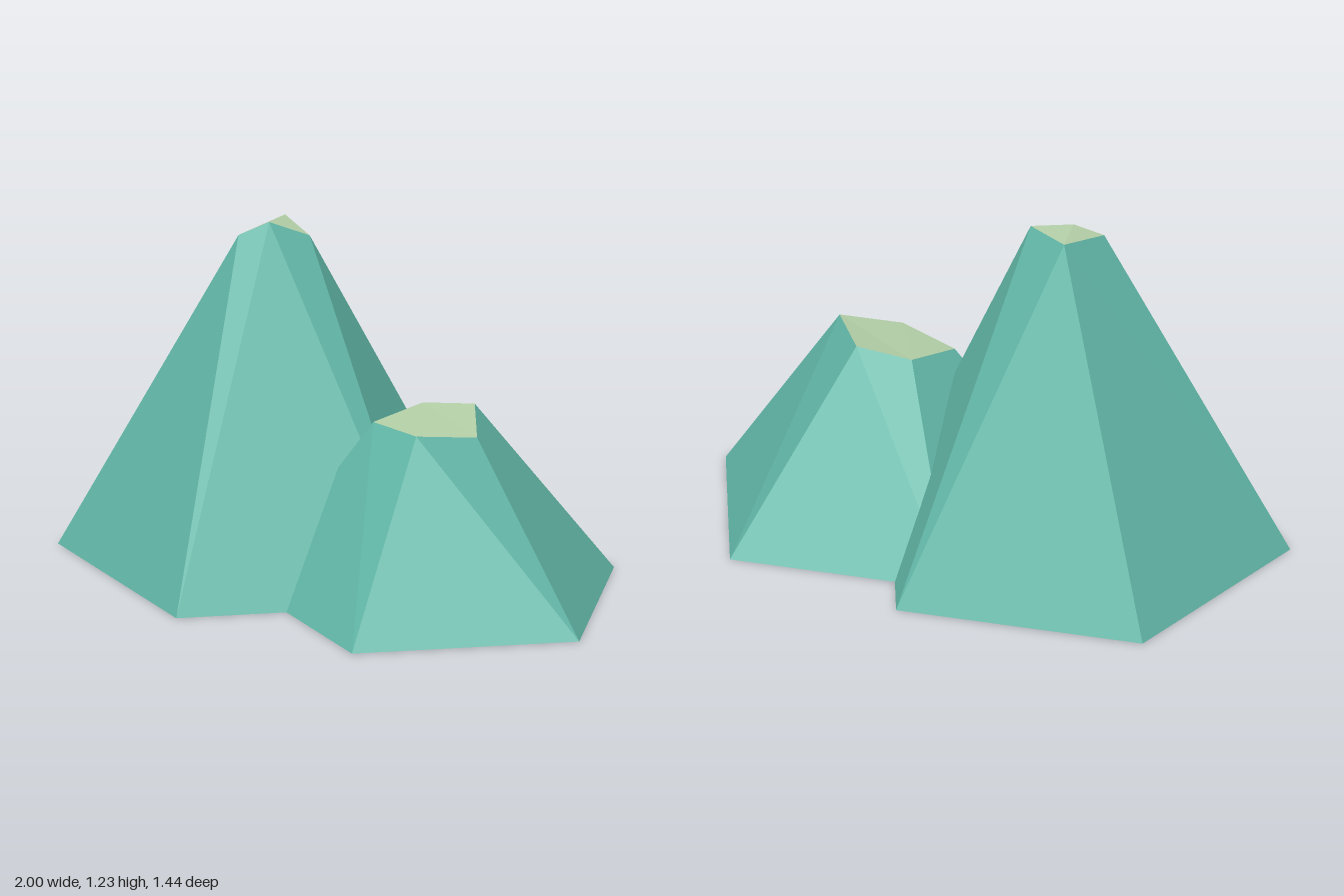
import * as THREE from 'three';

const rock = new THREE.MeshStandardMaterial({ color: 0x62b8a8, flatShading: true, side: THREE.DoubleSide });
rock.name = 'teal rock';
const summit = new THREE.MeshStandardMaterial({ color: 0xb2cda6, flatShading: true, side: THREE.DoubleSide });
summit.name = 'pale sage summit';

// Mesh from a list of triangles, each a triple of points
function facets(name, triangles, material) {
  const geometry = new THREE.BufferGeometry();
  geometry.setAttribute('position', new THREE.Float32BufferAttribute(triangles.flat(2), 3));
  geometry.computeVertexNormals();
  const mesh = new THREE.Mesh(geometry, material);
  mesh.name = name;
  return mesh;
}

// Hollow, open-bottomed pentagonal hill: a regular base ring joined to a tilted top ring
function hill(name, cx, cz, radius, top) {
  const n = top.length;
  const base = top.map((_, i) => {
    const a = (i / n) * Math.PI * 2;
    return [cx + radius * Math.cos(a), 0, cz + radius * Math.sin(a)];
  });
  const sides = [];
  const cap = [];
  for (let i = 0; i < n; i++) {
    const j = (i + 1) % n;
    sides.push([base[i], top[i], top[j]], [base[i], top[j], base[j]]);
  }
  // Cap fanned from the fourth corner
  for (let k = 1; k < n - 1; k++) {
    cap.push([top[3], top[(3 + k + 1) % n], top[(3 + k) % n]]);
  }
  // Skip collapsed triangles where two corners meet
  const solid = (t) => new Set(t.map(String)).size === 3;
  const group = new THREE.Group();
  group.name = name;
  group.add(
    facets(name + 'Slopes', sides.filter(solid), rock),
    facets(name + 'Top', cap.filter(solid), summit),
  );
  return group;
}

export function createModel() {
  const model = new THREE.Group();
  model.name = 'twinPeaks';
  // Tall peak: its two rear corners share one summit point
  model.add(hill('tallPeak', -0.391, 0, 0.753, [
    [-0.222, 1.2, 0], [-0.366, 1.226, 0.052], [-0.444, 1.178, 0.123],
    [-0.413, 1.212, -0.073], [-0.413, 1.212, -0.073],
  ]));
  // Low peak with a broad tilted top
  model.add(hill('lowPeak', 0.325, -0.083, 0.673, [
    [0.56, 0.648, -0.027], [0.367, 0.63, 0.075], [0.123, 0.615, 0.038],
    [0.16, 0.645, -0.167], [0.347, 0.67, -0.231],
  ]));
  return model;
}
